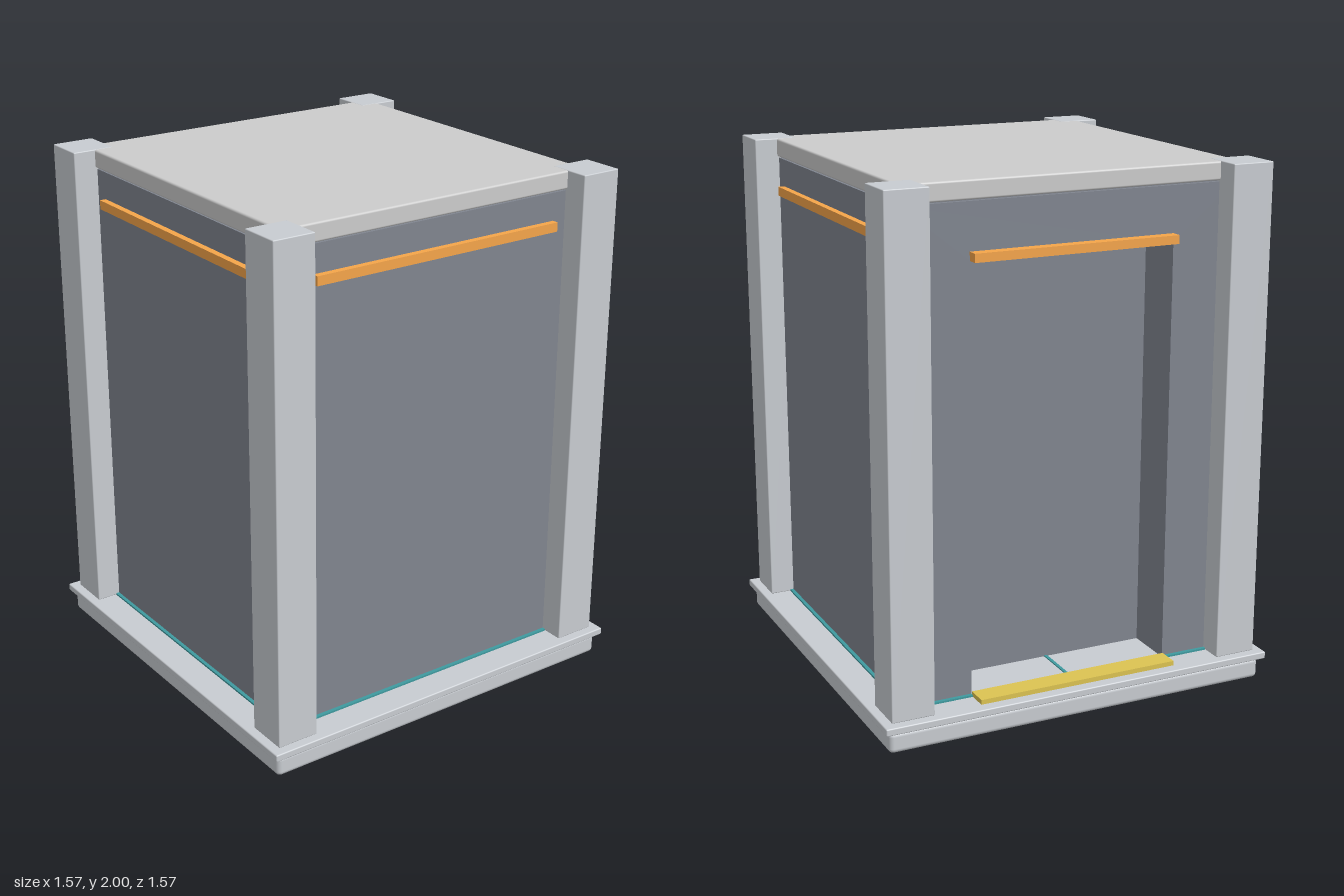
import * as THREE from 'three';
import { RoundedBoxGeometry } from 'three/addons/geometries/RoundedBoxGeometry.js';

const mat = (color) => new THREE.MeshStandardMaterial({ color });

export function createModel() {
  const model = new THREE.Group();
  const frame = mat(0xc8ccd1), roofGrey = mat(0xcccccc), panel = mat(0x80858f);
  const orange = mat(0xf5a54a), yellow = mat(0xdcc352), teal = mat(0x3f9a9f);

  const add = (name, geometry, material, parent = model) => {
    const mesh = new THREE.Mesh(geometry, material);
    mesh.name = name;
    parent.add(mesh);
    return mesh;
  };
  // Box given by its low and high corners, with optional rounded edges
  const box = (name, [x0, y0, z0], [x1, y1, z1], material, radius = 0, parent = model) => {
    const size = [x1 - x0, y1 - y0, z1 - z0];
    const geometry = radius ? new RoundedBoxGeometry(...size, 3, radius) : new THREE.BoxGeometry(...size);
    const mesh = add(name, geometry, material, parent);
    mesh.position.set((x0 + x1) / 2, (y0 + y1) / 2, (z0 + z1) / 2);
    return mesh;
  };

  // Stepped base
  box('basePlinth', [-0.765, 0, -0.765], [0.765, 0.08, 0.765], frame, 0.018);
  box('baseSlab', [-0.785, 0.082, -0.785], [0.785, 0.11, 0.785], frame, 0.005);
  box('baseSeam', [-0.75, 0.07, -0.75], [0.75, 0.09, 0.75], frame);

  // Cabin body, and a back wall with a doorway notch that forms the alcove
  box('cabinBody', [-0.655, 0.11, -0.46], [0.655, 1.925, 0.655], panel);
  const wall = new THREE.Shape([
    [-0.655, 0.11], [-0.4, 0.11], [-0.4, 1.72], [0.4, 1.72],
    [0.4, 0.11], [0.655, 0.11], [0.655, 1.925], [-0.655, 1.925],
  ].map(([x, y]) => new THREE.Vector2(x, y)));
  add('doorwayWall', new THREE.ExtrudeGeometry(wall, { depth: 0.195, bevelEnabled: false }), panel)
    .position.z = -0.655;

  // Roof slab
  box('roof', [-0.662, 1.93, -0.662], [0.662, 1.999, 0.662], roofGrey, 0.008);
  box('roofSeam', [-0.64, 1.92, -0.64], [0.64, 1.94, 0.64], panel);

  // Corner posts
  for (const sx of [-1, 1]) for (const sz of [-1, 1]) {
    const post = box('cornerPost', [-0.0825, 0.11, -0.0825], [0.0825, 2, 0.0825], frame, 0.004);
    post.position.x = sx * 0.6675;
    post.position.z = sz * 0.6675;
  }

  // Light bar and floor strip on the front and both sides
  for (const [side, angle] of [['front', 0], ['left', Math.PI / 2], ['right', -Math.PI / 2]]) {
    const group = new THREE.Group();
    group.name = side + 'Trim';
    group.rotation.y = angle;
    box('lightBar', [-0.53, 1.785, 0.65], [0.53, 1.82, 0.68], orange, 0, group);
    box('floorStrip', [-0.585, 0.108, 0.65], [0.585, 0.117, 0.669], teal, 0, group);
    model.add(group);
  }

  // Doorway trim on the back
  for (const s of [-1, 1]) {
    const strip = box('backFloorStrip', [-0.0925, 0.108, -0.669], [0.0925, 0.117, -0.65], teal);
    strip.position.x = s * 0.4925;
  }
  box('doorLightBar', [-0.4, 1.72, -0.697], [0.4, 1.752, -0.65], orange);
  box('doorThreshold', [-0.4, 0.108, -0.742], [0.4, 0.128, -0.66], yellow);
  box('alcoveFloorLine', [-0.006, 0.108, -0.66], [0.006, 0.114, -0.46], teal);

  return model;
}
